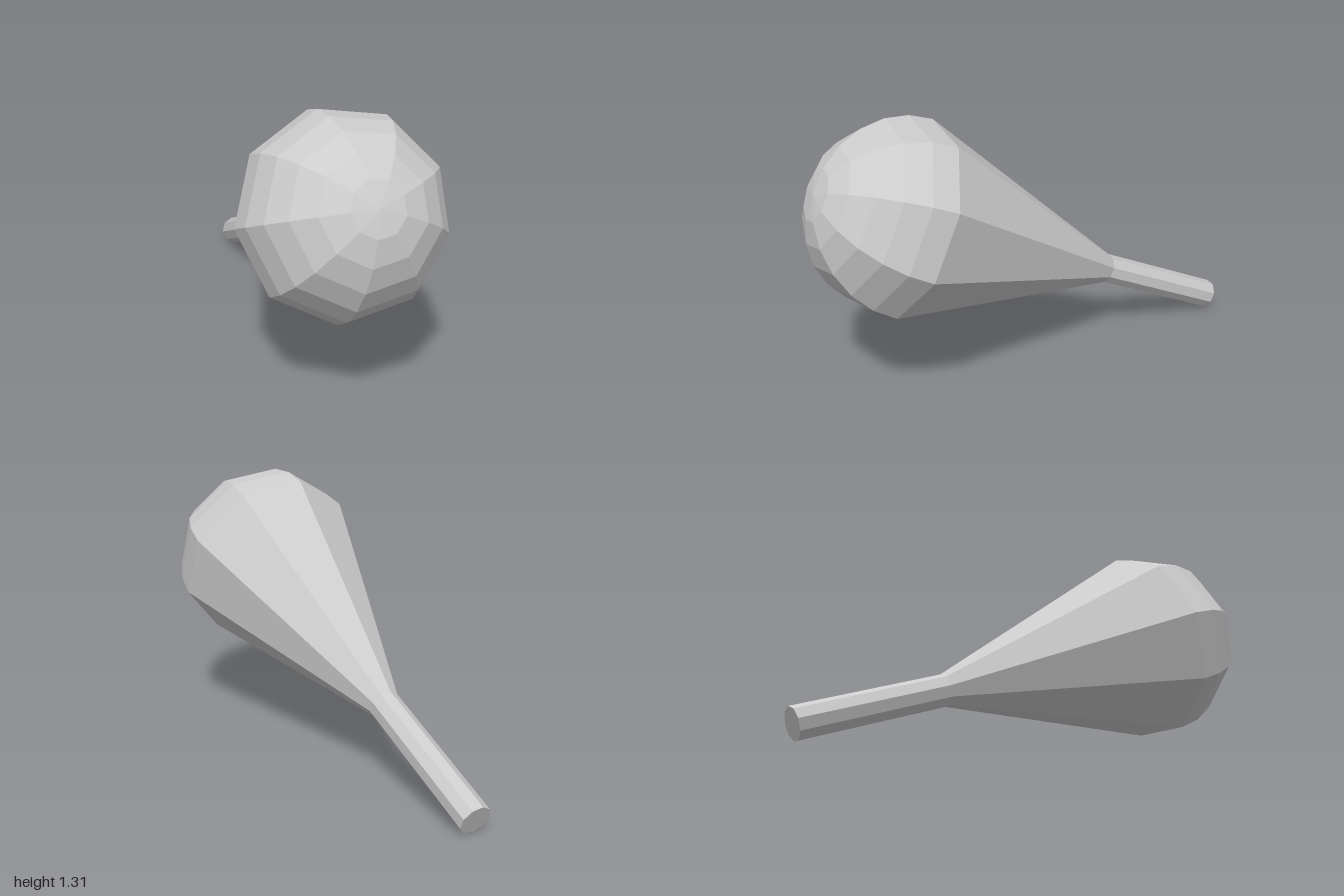
import * as THREE from 'three';

const SIDES = 9;
const HANDLE_RADIUS = 0.076, HANDLE_LENGTH = 0.74;
const DOME_RADIUS = 0.474, DOME_START = 1.942, DOME_STEPS = 6;

function turnedPart(name, profile) {
  const points = profile.map(([r, y]) => new THREE.Vector2(r, y));
  const material = new THREE.MeshStandardMaterial({ color: 0xcccccc, flatShading: true });
  const mesh = new THREE.Mesh(new THREE.LatheGeometry(points, SIDES), material);
  mesh.name = name;
  return mesh;
}

export function createModel() {
  const model = new THREE.Group();
  model.name = 'maraca';

  // straight handle with a flat closed end
  model.add(turnedPart('handle', [[0, 0], [HANDLE_RADIUS, 0], [HANDLE_RADIUS, HANDLE_LENGTH]]));

  // flaring cone
  model.add(turnedPart('cone', [[HANDLE_RADIUS, HANDLE_LENGTH], [DOME_RADIUS, DOME_START]]));

  // half-sphere end
  const dome = [];
  for (let i = 0; i <= DOME_STEPS; i++) {
    const a = (i / DOME_STEPS) * Math.PI / 2;
    dome.push([i === DOME_STEPS ? 0 : DOME_RADIUS * Math.cos(a), DOME_START + DOME_RADIUS * Math.sin(a)]);
  }
  model.add(turnedPart('dome', dome));

  // tilt the whole piece: axis runs up, left and forward; one corner points down
  const axis = new THREE.Vector3(0.5, 0.399, 0.769).normalize();
  const corner = new THREE.Vector3(0.04, -0.424, 0.205);
  corner.addScaledVector(axis, -corner.dot(axis)).normalize();
  const side = new THREE.Vector3().crossVectors(axis, corner);
  model.quaternion.setFromRotationMatrix(new THREE.Matrix4().makeBasis(side, axis, corner));
  model.position.set(-0.69, 0.07, -0.96);

  const root = new THREE.Group();
  root.name = 'tiltedMaraca';
  root.add(model);

  // settle on the ground and centre
  root.updateMatrixWorld(true);
  const box = new THREE.Box3().setFromObject(root, true);
  const centre = box.getCenter(new THREE.Vector3());
  model.position.sub(new THREE.Vector3(centre.x, box.min.y, centre.z));
  return root;
}
